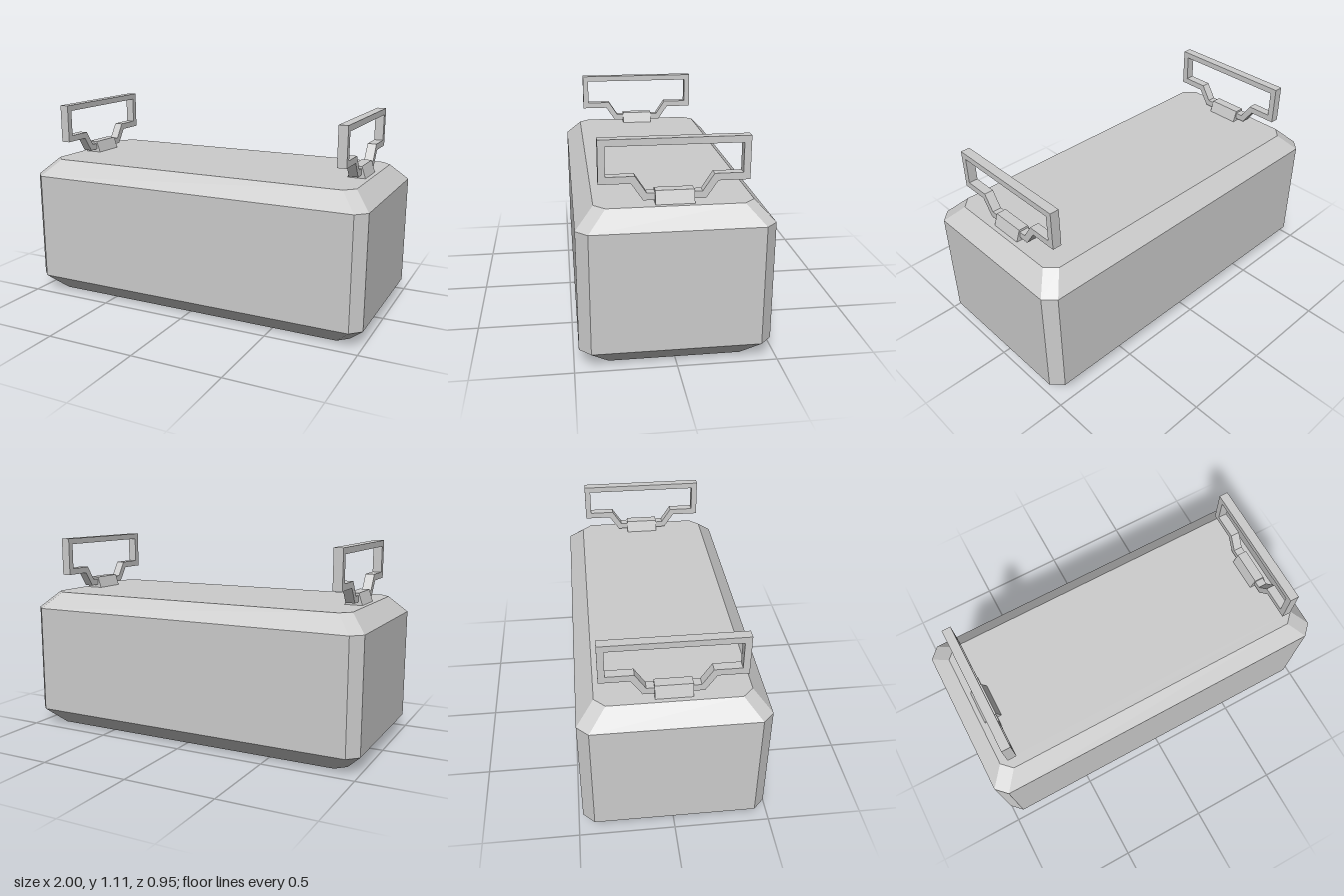
import * as THREE from 'three';

const grey = new THREE.MeshStandardMaterial({ color: 0xcccccc });
grey.name = 'plain grey';

// Rectangle with cut corners, counter-clockwise seen from above
function ring(hx, hz, cut, y) {
  const ix = hx - cut, iz = hz - cut;
  return [
    [hx, y, iz], [hx, y, -iz], [ix, y, -hz], [-ix, y, -hz],
    [-hx, y, -iz], [-hx, y, iz], [-ix, y, hz], [ix, y, hz],
  ];
}

// Flat-faced solid skinned through rings from bottom to top
function loft(rings) {
  const pos = [];
  const tri = (a, b, c) => pos.push(...a, ...b, ...c);
  const n = rings[0].length;
  for (let r = 0; r < rings.length - 1; r++) {
    const lo = rings[r], hi = rings[r + 1];
    for (let i = 0; i < n; i++) {
      const j = (i + 1) % n;
      tri(lo[i], lo[j], hi[j]);
      tri(lo[i], hi[j], hi[i]);
    }
  }
  const bottom = rings[0], top = rings[rings.length - 1];
  for (let i = 1; i < n - 1; i++) {
    tri(bottom[0], bottom[i + 1], bottom[i]);
    tri(top[0], top[i], top[i + 1]);
  }
  const geo = new THREE.BufferGeometry();
  geo.setAttribute('position', new THREE.Float32BufferAttribute(pos, 3));
  geo.computeVertexNormals();
  return geo;
}

// Mirrors half an outline to make a closed loop of points
function mirrored(half) {
  const pts = half.map(([x, y]) => new THREE.Vector2(x, y));
  return [...pts, ...pts.map((p) => new THREE.Vector2(-p.x, p.y)).reverse()];
}

// Extrudes a shape centred on its own plane
function slab(shape, depth) {
  return new THREE.ExtrudeGeometry(shape, { depth, bevelEnabled: false }).translate(0, 0, -depth / 2);
}

function part(name, geometry) {
  const mesh = new THREE.Mesh(geometry, grey);
  mesh.name = name;
  return mesh;
}

export function createModel() {
  const model = new THREE.Group();
  model.name = 'chest';

  // Chamfered body
  model.add(part('body', loft([
    ring(0.91, 0.385, 0.055, 0),
    ring(1, 0.475, 0.058, 0.092),
    ring(1, 0.475, 0.058, 0.706),
    ring(0.91, 0.385, 0.055, 0.798),
  ])));

  // Handle frame: wide grip narrowing to a bar held by the clamp
  const frame = new THREE.Shape(mirrored([
    [0.15, 0.815], [0.207, 0.899], [0.36, 0.899], [0.36, 1.112],
  ]));
  frame.holes.push(new THREE.Path(mirrored([
    [0.133, 0.85], [0.188, 0.934], [0.326, 0.934], [0.326, 1.079],
  ])));
  const frameGeo = slab(frame, 0.05).rotateY(Math.PI / 2);

  // Tapered clamp on the lid
  const clampGeo = slab(new THREE.Shape(mirrored([[0.049, 0.796], [0.027, 0.862]])), 0.187);

  for (const side of [-1, 1]) {
    const handle = new THREE.Group();
    handle.name = side > 0 ? 'leftHandle' : 'rightHandle';
    handle.position.x = side * 0.838;
    handle.add(part('handleFrame', frameGeo), part('handleClamp', clampGeo));
    model.add(handle);
  }
  return model;
}
